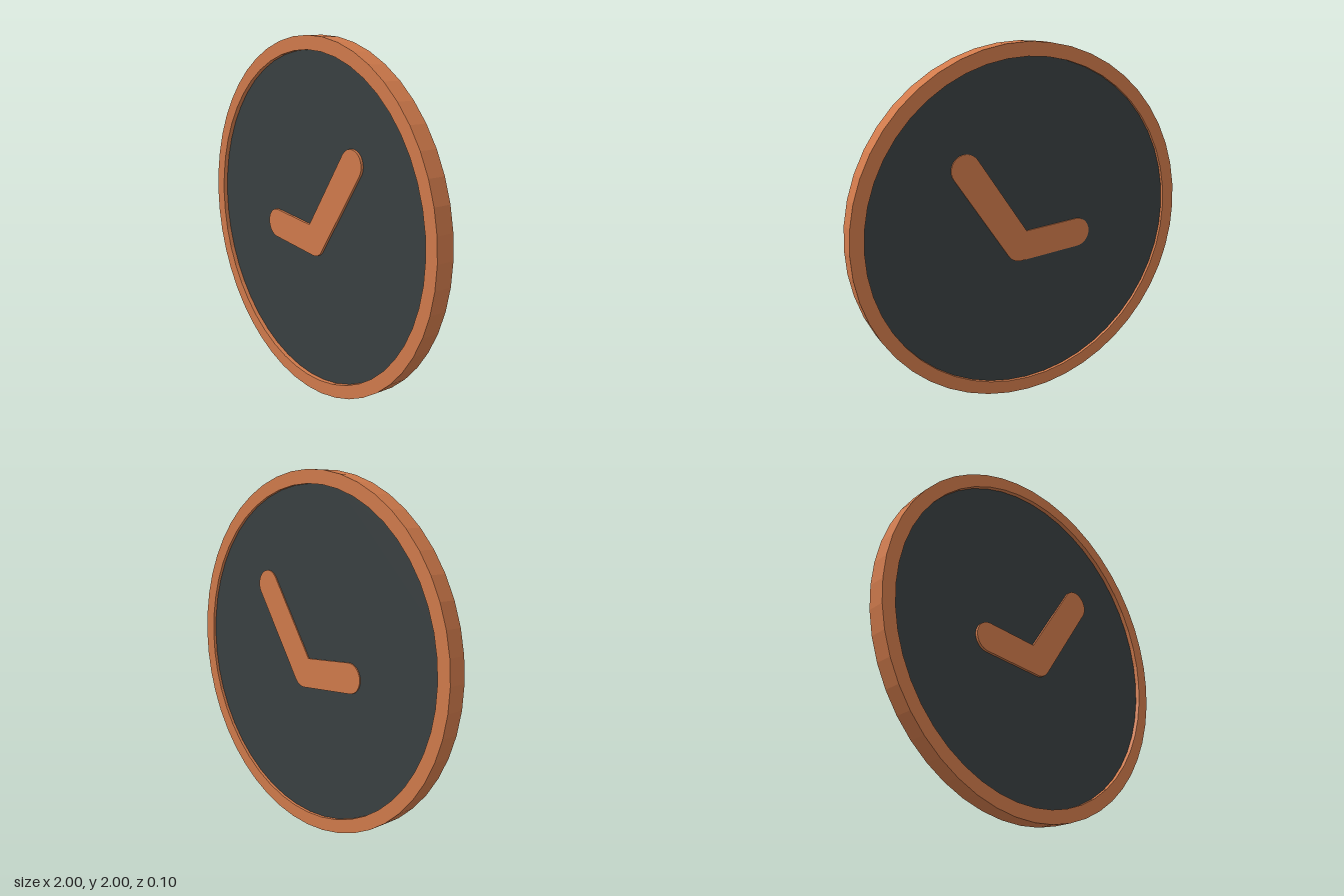
import * as THREE from 'three';

const copper = new THREE.MeshStandardMaterial({ name: 'copper', color: 0xd07a4b });
const slate = new THREE.MeshStandardMaterial({ name: 'slate', color: 0x394041 });

// Extrudes a flat outline between two z positions
function plate(name, shape, back, front, material, curveSegments) {
  const geometry = new THREE.ExtrudeGeometry(shape, { depth: front - back, bevelEnabled: false, curveSegments });
  geometry.translate(0, 0, back);
  const mesh = new THREE.Mesh(geometry, material);
  mesh.name = name;
  return mesh;
}

function circle(radius, Type = THREE.Shape) {
  return new Type().absarc(0, 1, radius, 0, Math.PI * 2, false);
}

// Outline of two joined hands with round tips and a round elbow
function handsShape(longTip, elbow, shortTip, r) {
  const a = Math.atan2(longTip.y - elbow.y, longTip.x - elbow.x);
  const b = Math.atan2(shortTip.y - elbow.y, shortTip.x - elbow.x);
  const q = Math.PI / 2;
  const mid = (a + b) / 2;
  const reach = r / Math.sin((b - a) / 2);
  const shape = new THREE.Shape();
  shape.absarc(longTip.x, longTip.y, r, a - q, a + q, false);
  shape.lineTo(elbow.x + reach * Math.cos(mid), elbow.y + reach * Math.sin(mid));
  shape.absarc(shortTip.x, shortTip.y, r, b - q, b + q, false);
  shape.absarc(elbow.x, elbow.y, r, b + q, a - q + Math.PI * 2, false);
  shape.closePath();
  return shape;
}

export function createModel() {
  const model = new THREE.Group();
  model.name = 'clock';

  // Faceted rim, 48 sides
  const ring = circle(1);
  ring.holes.push(circle(0.925, THREE.Path));
  model.add(plate('rim', ring, -0.052, 0.052, copper, 24));

  // Recessed dial
  model.add(plate('dial', circle(0.925), -0.035, 0.027, slate, 24));

  // Hands reach through the dial and stand proud on both faces
  const hands = handsShape(
    new THREE.Vector2(0.36, 1.36),
    new THREE.Vector2(0.045, 0.89),
    new THREE.Vector2(-0.32, 0.92),
    0.083
  );
  model.add(plate('hands', hands, -0.042, 0.042, copper, 8));

  return model;
}
